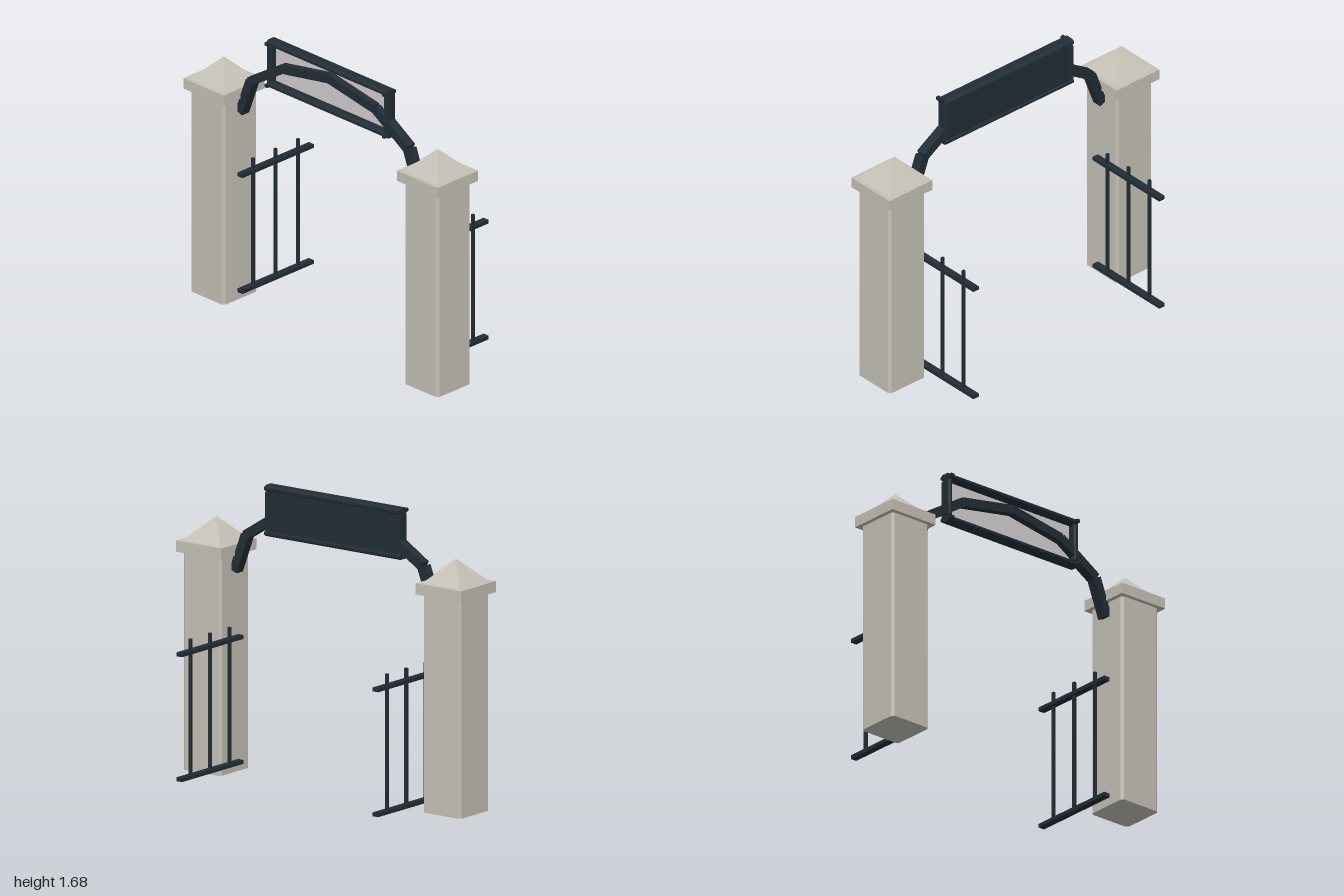
import * as THREE from 'three';

const stone = new THREE.MeshStandardMaterial({ name: 'stone', color: 0xc5c1b6 });
const iron = new THREE.MeshStandardMaterial({ name: 'dark iron', color: 0x222d36 });
const pale = new THREE.MeshStandardMaterial({ name: 'pale panel', color: 0xd2ced0 });

function add(parent, name, geometry, material, x = 0, y = 0, z = 0) {
  const mesh = new THREE.Mesh(geometry, material);
  mesh.name = name;
  mesh.position.set(x, y, z);
  parent.add(mesh);
  return mesh;
}

// Bar with chamfered long edges: w by h section, length along z, centred
function chamferedBar(w, h, length, cx, cy = cx) {
  const a = w / 2, b = h / 2;
  const section = new THREE.Shape([
    [a - cx, -b], [a, cy - b], [a, b - cy], [a - cx, b],
    [cx - a, b], [-a, b - cy], [-a, cy - b], [cx - a, -b],
  ].map(([x, y]) => new THREE.Vector2(x, y)));
  return new THREE.ExtrudeGeometry(section, { depth: length, bevelEnabled: false })
    .translate(0, 0, -length / 2);
}

// Square stone post with a slab and a pyramid on top
function makePillar(side) {
  const pillar = new THREE.Group();
  pillar.name = side > 0 ? 'leftPillar' : 'rightPillar';
  pillar.position.set(side * 0.841, 0, 0.187);
  add(pillar, 'shaft', chamferedBar(0.266, 0.266, 1.25, 0.014).rotateX(-Math.PI / 2), stone, 0, 0.625, 0);
  add(pillar, 'capSlab', new THREE.BoxGeometry(0.318, 0.063, 0.318), stone, 0, 1.275, 0);
  const pyramid = new THREE.ConeGeometry(0.133 * Math.SQRT2, 0.135, 4).toNonIndexed();
  pyramid.rotateY(Math.PI / 4).computeVertexNormals();
  add(pillar, 'capPyramid', pyramid, stone, 0, 1.3735, 0);
  return pillar;
}

// Open gate leaf running back from its pillar
function makeGate(side) {
  const gate = new THREE.Group();
  gate.name = side > 0 ? 'leftGate' : 'rightGate';
  gate.position.x = side * 0.688;
  for (const y of [0.058, 0.77])
    add(gate, 'gateRail', new THREE.BoxGeometry(0.04, 0.022, 0.558), iron, 0, y, -0.066);
  for (const z of [-0.241, -0.065, 0.111])
    add(gate, 'gateBar', new THREE.BoxGeometry(0.016, 0.783, 0.016), iron, 0, 0.451, z);
  return gate;
}

// Arch of straight beams
function makeArch() {
  const arch = new THREE.Group();
  arch.name = 'arch';
  const points = [[0.698, 1.152], [0.618, 1.368], [0.362, 1.53], [0, 1.594]];
  for (const side of [-1, 1]) {
    for (let i = 0; i < points.length - 1; i++) {
      const [x0, y0] = points[i], [x1, y1] = points[i + 1];
      const dx = side * (x1 - x0), dy = y1 - y0;
      const beam = add(arch, 'archBeam', new THREE.BoxGeometry(Math.hypot(dx, dy), 0.052, 0.058), iron,
        side * (x0 + x1) / 2, (y0 + y1) / 2, 0.184);
      beam.rotation.z = Math.atan2(dy, dx);
    }
  }
  return arch;
}

// Framed sign board
function makeSign() {
  const sign = new THREE.Group();
  sign.name = 'sign';
  const z = 0.184;
  add(sign, 'backBoard', new THREE.BoxGeometry(0.91, 0.25, 0.014), iron, 0, 1.53, 0.161);
  add(sign, 'frontPanel', new THREE.BoxGeometry(0.896, 0.232, 0.004), pale, 0, 1.53, 0.17);
  for (const y of [1.402, 1.658]) {
    add(sign, 'frameRail', chamferedBar(0.076, 0.036, 0.946, 0.016, 0.011).rotateY(Math.PI / 2), iron, 0, y, z);
    for (const x of [-0.461, 0.461])
      add(sign, 'frameStud', new THREE.BoxGeometry(0.02, 0.018, 0.02), iron, x, y, 0.226);
  }
  for (const x of [-0.46, 0.46])
    add(sign, 'frameSide', chamferedBar(0.028, 0.076, 0.215, 0.008, 0.014).rotateX(Math.PI / 2), iron, x, 1.53, z);
  return sign;
}

export function createModel() {
  const model = new THREE.Group();
  model.name = 'gateway';
  for (const side of [-1, 1]) model.add(makePillar(side), makeGate(side));
  model.add(makeArch(), makeSign());
  return model;
}
